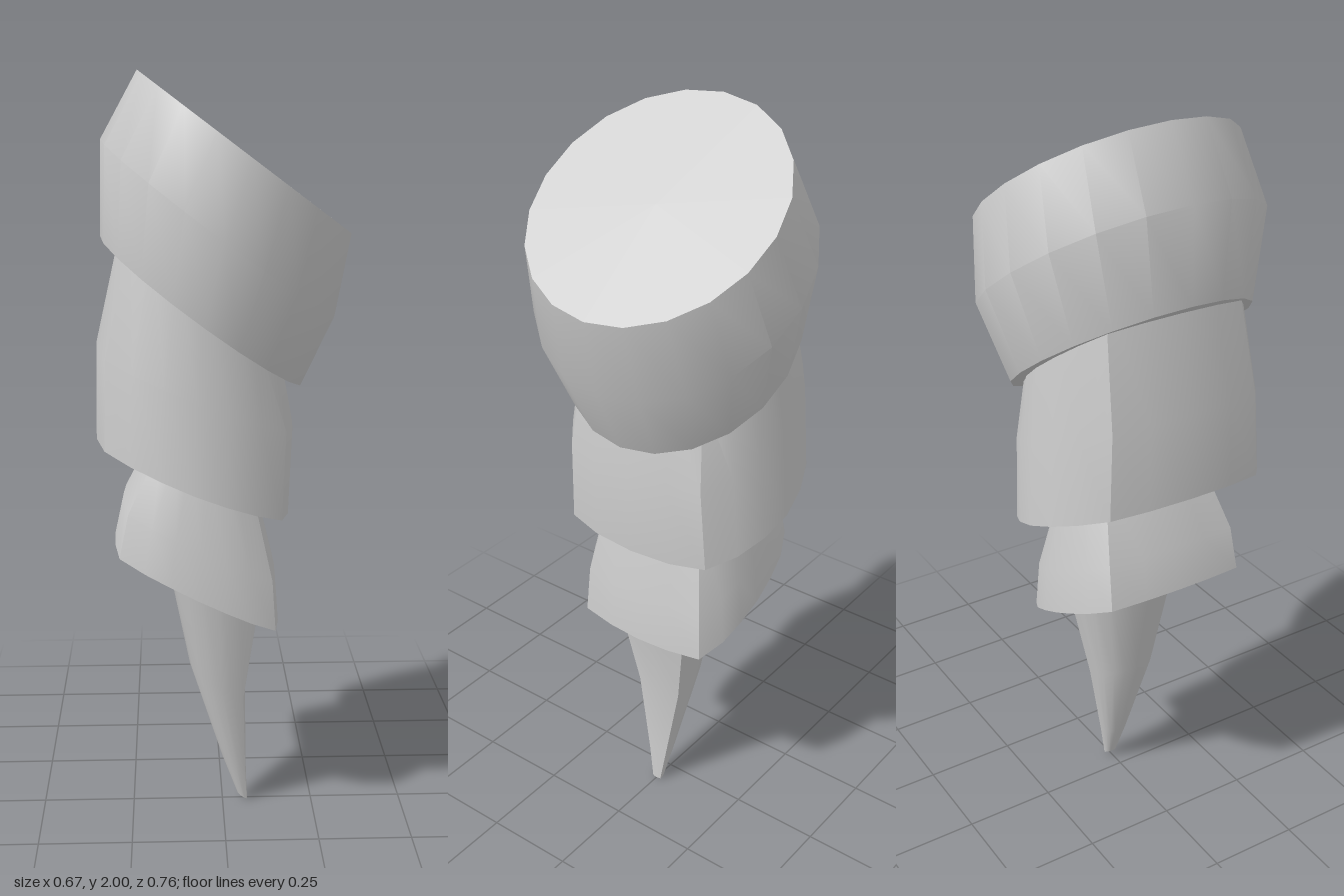
import * as THREE from 'three';
import { toCreasedNormals } from 'three/addons/utils/BufferGeometryUtils.js';

// Full cross-section from its +z half, listed from the +x end to the -x end
const mirrorZ = (half) => [...half, ...half.slice(1, -1).reverse().map(([u, w]) => [u, -w])];
const mirrorX = (quarter) => [...quarter, ...quarter.slice(0, -1).reverse().map(([u, w]) => [-u, w])];

const round = Array.from({ length: 20 }, (_, i) => [Math.cos(i * Math.PI / 10), Math.sin(i * Math.PI / 10)]);
const softBox = mirrorZ(mirrorX([[1, 0], [0.97, 0.38], [0.88, 0.69], [0.62, 0.86], [0.32, 0.96], [0, 1]]));
const box = mirrorZ(mirrorX([[1, 0], [0.98, 0.4], [0.92, 0.8], [0.62, 0.93], [0.32, 0.98], [0, 1]]));
const clawSection = mirrorZ([[1, 0], [0.9, 0.83], [0.5, 0.97], [0.1, 1], [-0.3, 0.94], [-0.65, 0.74], [-0.9, 0.42], [-1, 0]]);

// Capped loft through tilted rings, top to bottom: [xLow, yAtLow, xHigh, yAtHigh, halfDepth]
function loft(name, section, rings) {
  const n = section.length;
  const pos = [];
  const idx = [];
  for (const [x0, y0, x1, y1, depth] of rings) {
    for (const [u, w] of section) {
      const t = (u + 1) / 2;
      pos.push(x0 + (x1 - x0) * t, y0 + (y1 - y0) * t, w * depth);
    }
  }
  const top = pos.length / 3;
  for (const [x0, y0, x1, y1] of [rings[0], rings[rings.length - 1]]) {
    pos.push((x0 + x1) / 2, (y0 + y1) / 2, 0);
  }
  const last = (rings.length - 1) * n;
  for (let i = 0; i < n; i++) {
    const j = (i + 1) % n;
    for (let r = 0; r < last; r += n) {
      idx.push(r + i, r + j, r + n + i, r + j, r + n + j, r + n + i);
    }
    idx.push(top, j, i, top + 1, last + i, last + j);
  }
  const geometry = new THREE.BufferGeometry();
  geometry.setAttribute('position', new THREE.Float32BufferAttribute(pos, 3));
  geometry.setIndex(idx);
  const mesh = new THREE.Mesh(
    toCreasedNormals(geometry, 0.58),
    new THREE.MeshStandardMaterial({ color: 0xcccccc })
  );
  mesh.name = name;
  return mesh;
}

export function createModel() {
  const group = new THREE.Group();
  group.name = 'clawedLimb';
  group.add(
    // Broad round segment with a slanted flat top
    loft('upperSegment', round, [
      [-0.215, 2.0, 0.335, 1.59, 0.345],
      [-0.31, 1.83, 0.295, 1.38, 0.38],
      [-0.315, 1.585, 0.21, 1.2, 0.32],
    ]),
    // Two flared segments, each tucked into the one above
    loft('middleSegment', softBox, [
      [-0.255, 1.64, 0.14, 1.34, 0.27],
      [-0.33, 1.31, 0.185, 1.1, 0.305],
      [-0.335, 1.08, 0.175, 0.87, 0.32],
    ]),
    loft('lowerSegment', box, [
      [-0.17, 1.08, 0.075, 0.97, 0.18],
      [-0.265, 0.9, 0.14, 0.7, 0.235],
      [-0.29, 0.785, 0.15, 0.565, 0.245],
    ]),
    // Curved tapering claw
    loft('claw', clawSection, [
      [-0.16, 0.76, 0.11, 0.64, 0.145],
      [-0.09, 0.41, 0.063, 0.33, 0.083],
      [0.0, 0.13, 0.066, 0.1, 0.035],
      [0.042, 0.018, 0.07, 0.0, 0.016],
    ])
  );
  return group;
}
